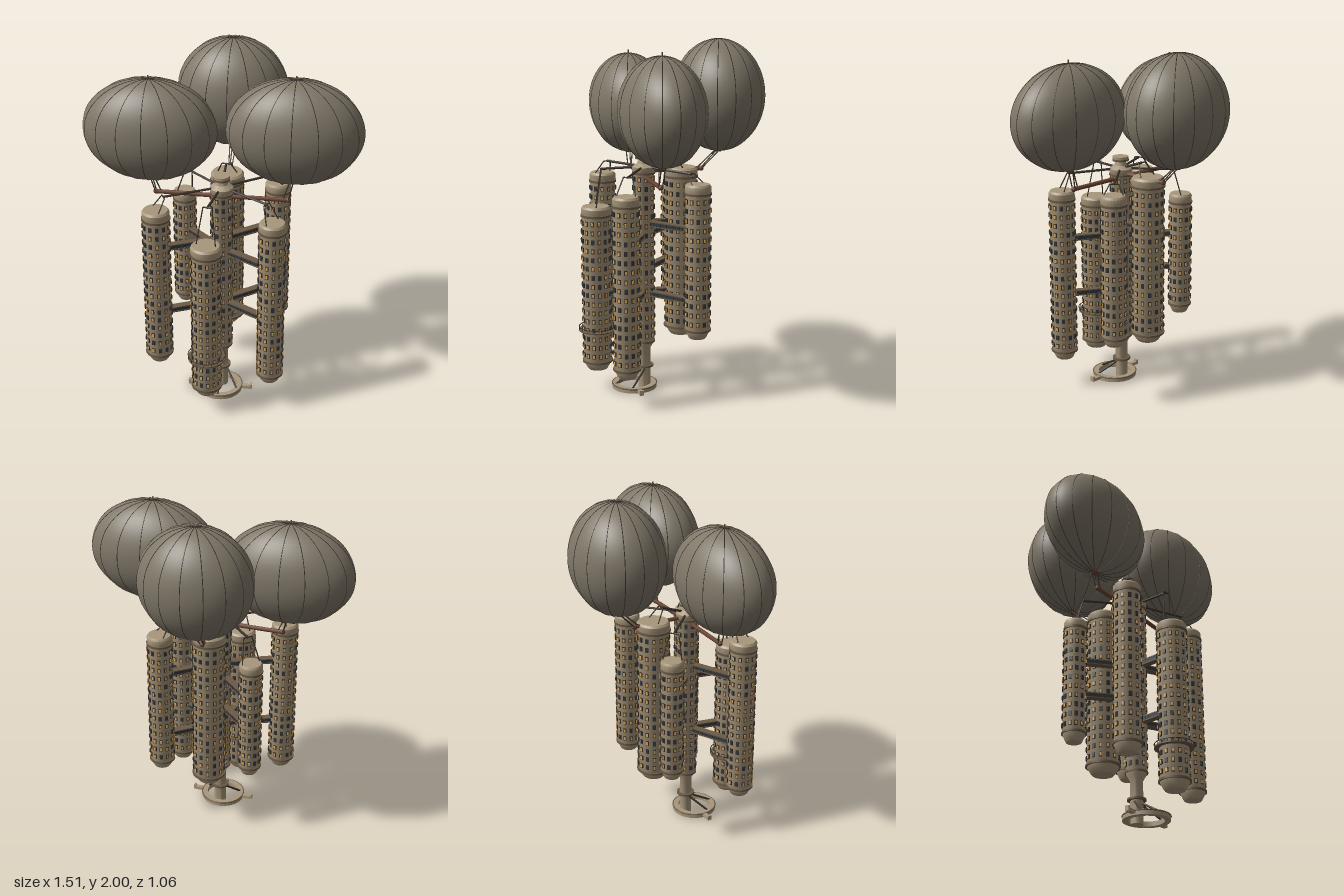
import * as THREE from 'three';
import { mergeGeometries, toCreasedNormals } from 'three/addons/utils/BufferGeometryUtils.js';

const mat = (color) => new THREE.MeshStandardMaterial({ color, side: THREE.DoubleSide });
const M = {
  stone: mat(0xa8977c), dark: mat(0x3a332b), trim: mat(0x6b5a45), cloth: mat(0x7f7768),
  beam: mat(0x6b4433), lit: mat(0xd9a45a), glass: mat(0x2e3a44),
};
const V = (x, y, z) => new THREE.Vector3(x, y, z);

function add(parent, name, geo, material, pos) {
  const m = new THREE.Mesh(geo, material);
  m.name = name;
  if (pos) m.position.copy(pos);
  parent.add(m);
  return m;
}

function group(parent, name, x = 0, y = 0, z = 0) {
  const g = new THREE.Group();
  g.name = name;
  g.position.set(x, y, z);
  parent.add(g);
  return g;
}

function lathe(points, sides = 24) {
  const g = new THREE.LatheGeometry(points.map((p) => new THREE.Vector2(p[0], p[1])), sides);
  return toCreasedNormals(g, 0.6);
}

// Round rod between two points
function rodGeo(a, b, r, sides = 6) {
  const g = new THREE.CylinderGeometry(r, r, a.distanceTo(b), sides);
  const q = new THREE.Quaternion().setFromUnitVectors(V(0, 1, 0), b.clone().sub(a).normalize());
  return g.applyQuaternion(q).translate(...a.clone().add(b).multiplyScalar(0.5).toArray());
}
const rod = (parent, name, a, b, r, m) => add(parent, name, rodGeo(a, b, r), m);

let seed = 7;
function rand() {
  seed = (seed * 16807) % 2147483647;
  return seed / 2147483647;
}

// Rows of framed windows around a cylinder wall
function windows(parent, r, y0, y1, count) {
  const sets = { dark: [], lit: [], glass: [] };
  const rows = Math.round((y1 - y0) / 0.052);
  for (let j = 0; j < rows; j++) {
    for (let i = 0; i < count; i++) {
      const a = ((i + 0.5) / count) * Math.PI * 2;
      const y = y0 + ((j + 0.5) * (y1 - y0)) / rows;
      const put = (w, h, d) => new THREE.BoxGeometry(w, h, d).translate(0, 0, r).rotateY(a).translate(0, y, 0);
      sets.dark.push(put(0.018, 0.027, 0.01));
      sets[rand() < 0.7 ? 'lit' : 'glass'].push(put(0.011, 0.019, 0.014));
    }
  }
  const names = { dark: 'windowFrames', lit: 'litPanes', glass: 'darkPanes' };
  for (const k in sets) if (sets[k].length) add(parent, names[k], mergeGeometries(sets[k]), M[k]);
}

// Hanging tower: tapered foot, wall, cornice and cap
function tower(parent, name, { x, z, r, b, t }) {
  const g = group(parent, name, x, 0, z);
  const w = r * 0.93;
  add(g, 'towerWall', lathe([
    [0, b], [0.62 * r, b], [0.7 * r, b + 0.008], [w, b + 0.045], [w, t - 0.05],
    [0.97 * r, t - 0.04], [0.97 * r, t - 0.012], [0.86 * r, t], [0, t],
  ]), M.stone);
  for (const y of [b + 0.05, t - 0.052]) {
    add(g, 'towerBand', new THREE.CylinderGeometry(r * 1.02, r * 1.02, 0.012, 24), M.trim, V(0, y, 0));
  }
  windows(g, w, b + 0.065, t - 0.065, r > 0.08 ? 14 : 12);
  return g;
}

// Seamed envelope with a collar under it
function balloon(parent, name, { x, y, z, rx, ry, rz, finial }) {
  const g = group(parent, name, x, y, z);
  add(g, 'envelope', new THREE.SphereGeometry(1, 48, 28).scale(rx, ry, rz), M.cloth);
  const seams = [];
  for (let i = 0; i < 16; i++) {
    const a = (i / 16) * Math.PI * 2;
    const pts = [];
    for (let j = 0; j <= 24; j++) {
      const p = (j / 24) * Math.PI;
      pts.push(V(rx * Math.sin(p) * Math.cos(a), ry * Math.cos(p), rz * Math.sin(p) * Math.sin(a)));
    }
    seams.push(new THREE.TubeGeometry(new THREE.CatmullRomCurve3(pts), 32, 0.0022, 4));
  }
  add(g, 'seams', mergeGeometries(seams), M.dark);
  add(g, 'collar', new THREE.CylinderGeometry(0.032, 0.018, 0.025, 16), M.beam, V(0, -ry + 0.004, 0));
  if (finial) add(g, 'finial', new THREE.CylinderGeometry(0.004, 0.004, 0.03, 6), M.beam, V(0, ry + 0.005, 0));
}

export function createModel() {
  const model = new THREE.Group();
  model.name = 'hangingTowerCity';
  const CZ = 0.155;

  // Central column, mast and hub
  const column = group(model, 'centralColumn', 0, 0, CZ);
  add(column, 'columnWall', lathe([
    [0, 0], [0.035, 0], [0.035, 0.24], [0.058, 0.28], [0.058, 1.27], [0.064, 1.28],
    [0.064, 1.3], [0.035, 1.32], [0.03, 1.34], [0.045, 1.355], [0.045, 1.37], [0, 1.37],
  ]), M.stone);
  windows(column, 0.058, 0.3, 1.26, 10);
  for (const [y, r] of [[0.285, 0.063], [0.135, 0.052], [1.265, 0.065], [1.35, 0.047]]) {
    add(column, 'columnBand', new THREE.CylinderGeometry(r, r, 0.011, 24), M.trim, V(0, y, 0));
  }

  // Docking ring with braces and hooked arms
  const RZ = 0.215;
  const dock = group(model, 'dockingRing', 0, 0, RZ);
  add(dock, 'ring', lathe([[0.095, 0.01], [0.128, 0.01], [0.128, 0.036], [0.095, 0.036], [0.095, 0.01]], 32), M.stone);
  add(dock, 'ringRim', new THREE.TorusGeometry(0.128, 0.004, 6, 32).rotateX(Math.PI / 2), M.trim, V(0, 0.034, 0));
  for (const s of [-1, 1]) {
    add(dock, 'dockArm', new THREE.BoxGeometry(0.07, 0.018, 0.024), M.stone, V(s * 0.152, 0.027, 0));
    add(dock, 'dockHook', new THREE.BoxGeometry(0.012, 0.028, 0.024), M.stone, V(s * 0.182, 0.033, 0));
    rod(dock, 'ringBrace', V(s * 0.025, 0.125, CZ - RZ), V(s * 0.1, 0.033, 0.035), 0.006, M.dark);
  }
  rod(dock, 'ringBrace', V(0, 0.13, CZ - RZ), V(0, 0.033, 0.11), 0.006, M.dark);

  // Towers hung around the column, each with bridge heights and a davit
  const towers = {
    frontTower: { x: -0.045, z: 0.42, r: 0.086, b: 0.125, t: 1.08, bridges: [0.91, 0.575] },
    frontRightTower: { x: -0.335, z: 0.32, r: 0.078, b: 0.26, t: 1.22, bridges: [0.98, 0.575] },
    frontLeftTower: { x: 0.3, z: 0.325, r: 0.076, b: 0.18, t: 1.195, bridges: [0.91, 0.575] },
    backLeftTower: { x: 0.285, z: -0.08, r: 0.074, b: 0.37, t: 1.24, bridges: [0.98, 0.575] },
    backRightTower: { x: -0.25, z: -0.08, r: 0.067, b: 0.43, t: 1.15, bridges: [0.91, 0.71] },
    backTower: { x: 0, z: -0.062, r: 0.096, b: 0.315, t: 1.29, bridges: [0.98, 0.575] },
  };
  for (const [name, d] of Object.entries(towers)) {
    tower(model, name, d);
    const dx = d.x, dz = d.z - CZ;
    const len = Math.hypot(dx, dz), ang = Math.atan2(dx, dz);

    // Covered bridges from the column
    for (const y of d.bridges) {
      const bridge = group(model, 'bridge', 0, y, CZ);
      bridge.rotation.y = ang;
      const span = Math.max(len - d.r - 0.04, 0.03);
      const mid = 0.05 + span / 2;
      add(bridge, 'bridgeWalk', new THREE.BoxGeometry(0.032, 0.02, span), M.glass, V(0, 0, mid));
      for (const s of [-1, 1]) {
        add(bridge, 'bridgeDeck', new THREE.BoxGeometry(0.04, 0.006, span), M.trim, V(0, s * 0.013, mid));
      }
      for (let k = 0.06; k < 0.05 + span; k += 0.022) {
        add(bridge, 'bridgePost', new THREE.BoxGeometry(0.036, 0.022, 0.004), M.dark, V(0, 0, k));
      }
    }

    // Davit pole with a forked sling down to the cap
    const high = d.t > 1.27;
    const f = high ? 0.78 : 0.88;
    const tip = V(dx * f, high ? 1.36 : 1.29, CZ + dz * f);
    rod(model, 'davitPole', V(0, 1.3, CZ), tip, 0.007, M.dark);
    const side = V(Math.cos(ang), 0, -Math.sin(ang));
    for (const s of [-1, 1]) {
      const fork = tip.clone().addScaledVector(side, s * 0.025);
      const foot = V(d.x, d.t - 0.005, d.z).addScaledVector(side, s * 0.055);
      rod(model, 'slingYoke', tip, fork, 0.004, M.dark);
      rod(model, 'slingRope', fork, foot, 0.0035, M.dark);
    }
  }

  // Railed gallery around the front tower
  const gallery = group(model, 'gallery', towers.frontTower.x, 0.36, towers.frontTower.z);
  add(gallery, 'galleryDeck', lathe([[0.078, -0.005], [0.106, -0.005], [0.106, 0.002], [0.078, 0.002]], 32), M.trim);
  add(gallery, 'galleryRail', new THREE.TorusGeometry(0.105, 0.0025, 5, 32).rotateX(Math.PI / 2), M.dark, V(0, 0.018, 0));
  for (let i = 0; i < 16; i++) {
    const a = (i / 16) * Math.PI * 2;
    const p = V(0.105 * Math.cos(a), 0, 0.105 * Math.sin(a));
    rod(gallery, 'railPost', p, p.clone().setY(0.018), 0.0018, M.dark);
  }

  // Balloons, each moored to a spreader beam from the column
  const balloons = {
    leftBalloon: { x: 0.39, y: 1.65, z: 0.147, rx: 0.365, ry: 0.29, rz: 0.225, finial: true, end: V(0.365, 1.245, 0.15) },
    rightBalloon: { x: -0.39, y: 1.615, z: 0.147, rx: 0.365, ry: 0.285, rz: 0.225, finial: true, end: V(-0.365, 1.245, 0.15) },
    backBalloon: { x: 0, y: 1.688, z: -0.28, rx: 0.313, ry: 0.312, rz: 0.252, finial: false, end: V(0, 1.275, -0.18) },
  };
  for (const [name, d] of Object.entries(balloons)) {
    balloon(model, name, d);
    rod(model, 'spreaderBeam', V(0, d.end.y, CZ), d.end, 0.012, M.beam);
    const out = d.end.clone().sub(V(0, d.end.y, CZ)).normalize();
    const side = V(out.z, 0, -out.x);
    add(model, 'beamEnd', new THREE.SphereGeometry(0.015, 10, 8), M.beam, d.end);
    for (const [i, s] of [[0, -1], [0, 1], [-0.03, 0]]) {
      const from = d.end.clone().addScaledVector(out, i).addScaledVector(side, s * 0.01);
      const to = V(d.x, d.y - d.ry, d.z).addScaledVector(out, i * 0.6).addScaledVector(side, s * 0.018);
      rod(model, 'mooringRope', from, to, 0.0035, M.dark);
    }
  }
  return model;
}
